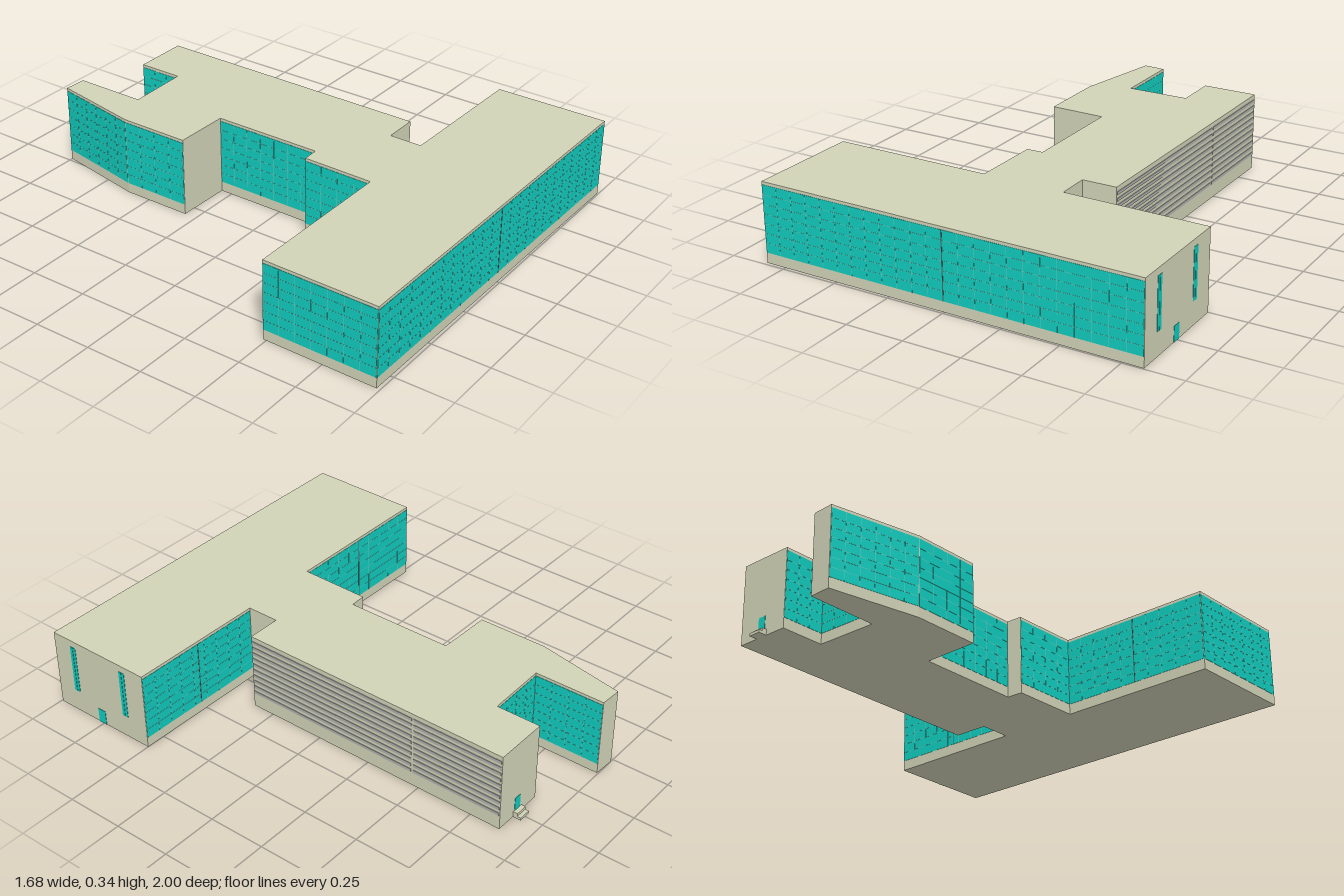
import * as THREE from 'three';
import { mergeGeometries } from 'three/addons/utils/BufferGeometryUtils.js';

const H = 0.345;
const mat = (color) => new THREE.MeshStandardMaterial({ color });
const STONE = mat(0xd1d3b7), GLASS = mat(0x10cbbd), BAR = mat(0x6fc9bd), SLAT = mat(0xb0b0ae), JOINT = mat(0x55605c);

// Footprint corners (x, z); third value says how the wall to the next corner is finished
const PLAN = [
  [-0.84, 0.985, 'glass'], [0.837, 0.995, 'gable'], [0.837, 0.5, 'glass'], [0.215, 0.493, ''],
  [0.215, 0.35, ''], [0.365, 0.35, 'slats'], [0.37, -0.885, 'rear'], [0.13, -0.885, 'glass'],
  [0.13, -0.69, 'glass'], [-0.14, -0.685, 'glass'], [-0.14, -0.995, ''], [-0.235, -1, 'glass'],
  [-0.31, -0.61, 'glass'], [-0.31, -0.305, ''], [-0.07, -0.3, 'glass'], [-0.07, 0.178, ''],
  [-0.14, 0.18, 'glass'], [-0.145, 0.49, 'glass'], [-0.835, 0.485, 'glass'],
];

// Box given by its range along the wall, its height range and how far it stands out
function slab(s0, s1, y0, y1, out) {
  const g = new THREE.BoxGeometry(s1 - s0, y1 - y0, out + 0.002);
  return g.translate((s0 + s1) / 2, (y0 + y1) / 2, (out - 0.002) / 2);
}

function addMesh(group, name, geometries, material) {
  const mesh = new THREE.Mesh(mergeGeometries(geometries), material);
  mesh.name = name;
  group.add(mesh);
}

// Curtain wall with a grid of fine glazing bars and a joint in the middle of long walls
function glaze(wall, len) {
  const y0 = 0.045, y1 = 0.332, rows = 7, cols = Math.max(2, Math.round(len / 0.07)), bars = [];
  addMesh(wall, 'curtainGlass', [slab(0.002, len - 0.002, y0, y1, 0.0012)], GLASS);
  for (let i = 1; i < rows; i++) {
    const y = y0 + (y1 - y0) * i / rows;
    bars.push(slab(0.002, len - 0.002, y - 0.0008, y + 0.0008, 0.0018));
  }
  for (let i = 1; i < cols; i++) {
    const s = len * i / cols;
    bars.push(slab(s - 0.0007, s + 0.0007, y0, y1, 0.0018));
  }
  addMesh(wall, 'glazingBars', bars, BAR);
  if (len > 0.6) addMesh(wall, 'panelJoint', [slab(len / 2 - 0.002, len / 2 + 0.002, y0, y1, 0.0022)], JOINT);
}

// End wall: two tall paired window strips and a door
function gable(wall) {
  const panes = [];
  for (const s of [0.09, 0.365]) {
    panes.push(slab(s, s + 0.014, 0.1, 0.315, 0.0015), slab(s + 0.016, s + 0.03, 0.1, 0.315, 0.0015));
  }
  addMesh(wall, 'stripWindows', panes, GLASS);
  addMesh(wall, 'endDoor', [slab(0.22, 0.26, 0, 0.065, 0.0015)], GLASS);
}

// Long side wall: rows of slats in two bays
function slats(wall, len) {
  const rows = [], n = 10, gap = 0.82;
  for (let i = 0; i < n; i++) {
    const y = 0.064 + i * 0.0275;
    rows.push(slab(0.004, gap - 0.005, y, y + 0.013, 0.0025), slab(gap + 0.005, len - 0.004, y, y + 0.013, 0.0025));
  }
  addMesh(wall, 'sideSlats', rows, SLAT);
}

// Rear wall: door with two steps
function rear(wall) {
  addMesh(wall, 'rearDoor', [slab(0.098, 0.134, 0.025, 0.085, 0.0015)], GLASS);
  addMesh(wall, 'rearSteps', [slab(0.09, 0.144, 0, 0.012, 0.036), slab(0.09, 0.144, 0.012, 0.025, 0.02)], STONE);
}

export function createModel() {
  const model = new THREE.Group();
  model.name = 'officeBuilding';

  // Solid mass of the building
  const shape = new THREE.Shape(PLAN.map(([x, z]) => new THREE.Vector2(x, -z)));
  const body = new THREE.ExtrudeGeometry(shape, { depth: H, bevelEnabled: false });
  body.rotateX(-Math.PI / 2);
  addMesh(model, 'buildingMass', [body], STONE);

  // Finishes, each placed in a frame running along its wall and facing outwards
  const finish = { glass: glaze, gable, slats, rear };
  PLAN.forEach(([x, z, kind], i) => {
    if (!kind) return;
    const [x2, z2] = PLAN[(i + 1) % PLAN.length];
    const wall = new THREE.Group();
    wall.name = kind + 'Wall' + i;
    wall.position.set(x, 0, z);
    wall.rotation.y = Math.atan2(z - z2, x2 - x);
    finish[kind](wall, Math.hypot(x2 - x, z2 - z));
    model.add(wall);
  });
  return model;
}
